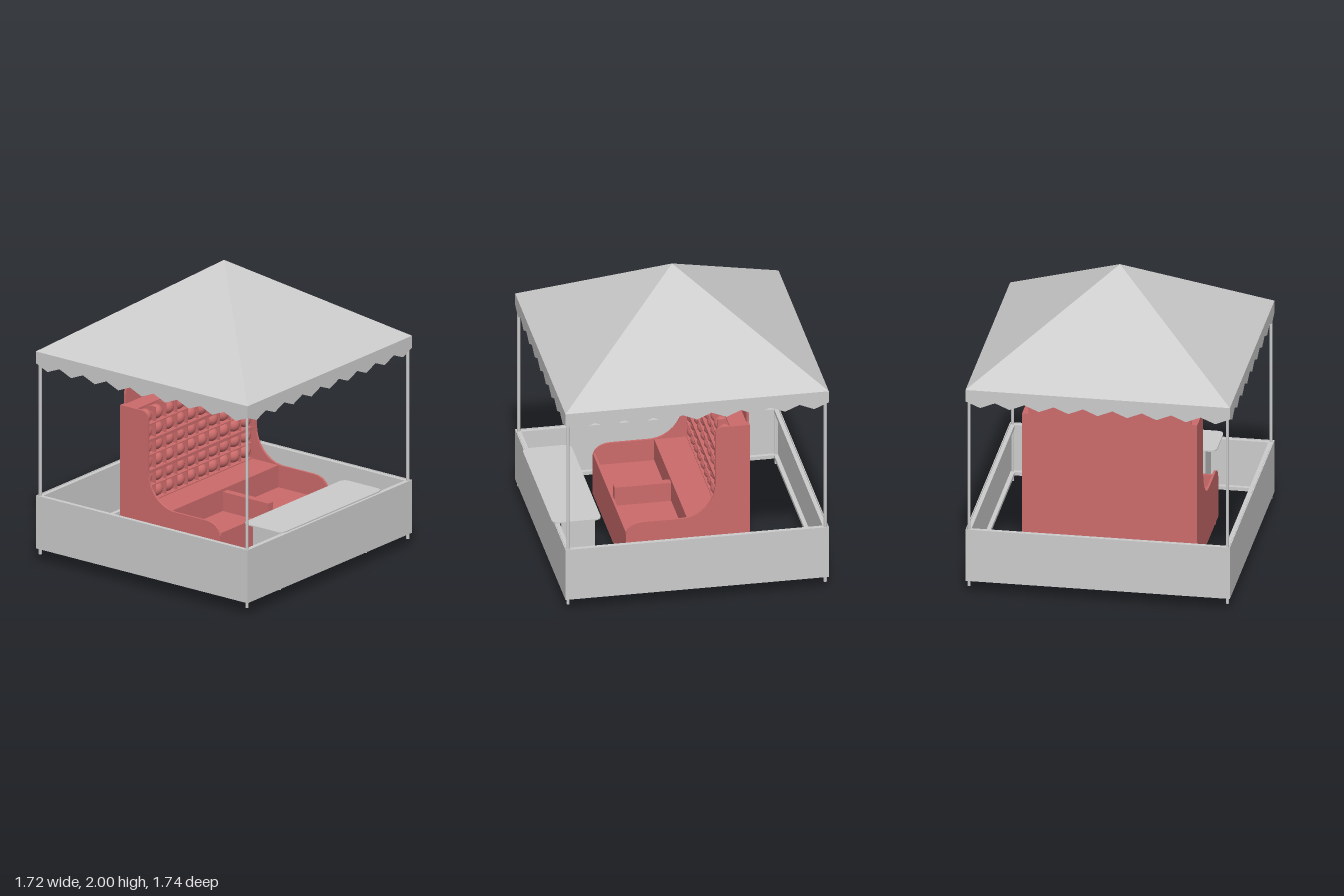
import * as THREE from 'three';

const grey = new THREE.MeshStandardMaterial({ color: 0xcccccc, side: THREE.DoubleSide, flatShading: true });
const red = new THREE.MeshStandardMaterial({ color: 0xcc6b6b, side: THREE.DoubleSide, flatShading: true });
const redSmooth = new THREE.MeshStandardMaterial({ color: 0xcc6b6b });

function add(parent, name, geometry, material, x = 0, y = 0, z = 0) {
  const mesh = new THREE.Mesh(geometry, material);
  mesh.name = name;
  mesh.position.set(x, y, z);
  parent.add(mesh);
  return mesh;
}

// Box given by its minimum and maximum on each axis
function box(parent, name, material, [x0, x1], [y0, y1], [z0, z1]) {
  const g = new THREE.BoxGeometry(x1 - x0, y1 - y0, z1 - z0);
  return add(parent, name, g, material, (x0 + x1) / 2, (y0 + y1) / 2, (z0 + z1) / 2);
}

// Round bar between two points
function bar(parent, name, a, b, r) {
  const p = new THREE.Vector3(...a), q = new THREE.Vector3(...b);
  const mesh = add(parent, name, new THREE.CylinderGeometry(r, r, p.distanceTo(q), 8), grey);
  mesh.position.copy(p).lerp(q, 0.5);
  mesh.quaternion.setFromUnitVectors(new THREE.Vector3(0, 1, 0), q.sub(p).normalize());
}

function group(parent, name) {
  const g = new THREE.Group();
  g.name = name;
  parent.add(g);
  return g;
}

// Pyramid roof with a zigzag valance, over poles and low walls
function buildTent(root) {
  const tent = group(root, 'tent');
  tent.position.z = -0.01;
  const H = 0.86, P = 0.84, EAVE = 1.43, TEETH = 9;

  const roof = new THREE.ConeGeometry(H * Math.SQRT2, 2 - EAVE, 4, 1, true);
  roof.rotateY(Math.PI / 4);
  add(tent, 'canopyRoof', roof, grey, 0, (2 + EAVE) / 2, 0);

  const valance = new THREE.Shape();
  valance.moveTo(-H, EAVE);
  valance.lineTo(-H, 1.35);
  const step = (2 * H) / TEETH;
  for (let i = 0; i < TEETH; i++) {
    valance.lineTo(-H + (i + 0.5) * step, 1.31);
    valance.lineTo(-H + (i + 1) * step, 1.35);
  }
  valance.lineTo(H, EAVE);
  const valanceGeo = new THREE.ShapeGeometry(valance).translate(0, 0, H);

  // The same four-sided frame on each quarter turn
  for (let i = 0; i < 4; i++) {
    const side = group(tent, 'tentSide');
    side.rotation.y = (i * Math.PI) / 2;
    add(side, 'valance', valanceGeo, grey);
    box(side, 'wallPanel', grey, [-H, H], [0.09, 0.45], [H - 0.006, H]);
    for (const y of [0.105, 0.435, 1.415]) {
      box(side, 'frameRail', grey, [-P, P], [y - 0.012, y + 0.012], [P - 0.015, P + 0.012]);
    }
    bar(side, 'cornerPole', [P, 0.05, P], [P, EAVE, P], 0.01);
    bar(side, 'hipRafter', [P, EAVE - 0.01, P], [0, 1.975, 0], 0.013);
  }
}

// Serving counter with a rounded top on a U-shaped base
function buildCounter(root) {
  const counter = group(root, 'counter');
  const w = 0.53, z0 = 0.55, z1 = 0.87, r = 0.05;
  const top = new THREE.Shape();
  top.moveTo(-w + r, z0);
  top.lineTo(w - r, z0);
  top.quadraticCurveTo(w, z0, w, z0 + r);
  top.lineTo(w, z1 - r);
  top.quadraticCurveTo(w, z1, w - r, z1);
  top.lineTo(-w + r, z1);
  top.quadraticCurveTo(-w, z1, -w, z1 - r);
  top.lineTo(-w, z0 + r);
  top.quadraticCurveTo(-w, z0, -w + r, z0);
  const topGeo = new THREE.ExtrudeGeometry(top, { depth: 0.008, bevelEnabled: false, curveSegments: 6 });
  topGeo.rotateX(Math.PI / 2);
  add(counter, 'counterTop', topGeo, grey, 0, 0.48, 0);
  box(counter, 'counterPanel', grey, [-0.455, 0.455], [0.055, 0.472], [0.58, 0.59]);
  for (const s of [-1, 1]) {
    box(counter, 'counterEnd', grey, [s * 0.45 - 0.005, s * 0.45 + 0.005], [0.055, 0.472], [0.58, 0.8]);
  }
}

// Cabinet with curved cheeks, trays and rounded header board
function buildCabinet(root) {
  const cabinet = group(root, 'cabinet');
  const W = 0.57, T = 0.015, BACK = -0.41, FRONT = 0.4;

  const cheek = new THREE.Shape();
  cheek.moveTo(BACK, 0.09);
  cheek.lineTo(FRONT, 0.09);
  cheek.lineTo(FRONT, 0.37);
  cheek.quadraticCurveTo(0.38, 0.45, 0.28, 0.45);
  cheek.lineTo(0.02, 0.45);
  cheek.bezierCurveTo(-0.1, 0.46, -0.185, 0.56, -0.185, 0.68);
  cheek.lineTo(-0.185, 1.035);
  cheek.quadraticCurveTo(-0.185, 1.085, -0.235, 1.085);
  cheek.lineTo(BACK, 1.085);
  const cheekGeo = new THREE.ExtrudeGeometry(cheek, { depth: T, bevelEnabled: false, curveSegments: 8 });
  cheekGeo.rotateY(-Math.PI / 2);
  add(cabinet, 'leftCheek', cheekGeo, red, W);
  add(cabinet, 'rightCheek', cheekGeo, red, -W + T);

  const hw = 0.53, hy = 1.255, r = 0.11;
  const header = new THREE.Shape();
  header.moveTo(-hw, 1);
  header.lineTo(hw, 1);
  header.lineTo(hw, hy - r);
  header.absarc(hw - r, hy - r, r, 0, Math.PI / 2);
  header.absarc(-hw + r, hy - r, r, Math.PI / 2, Math.PI);
  const headerGeo = new THREE.ExtrudeGeometry(header, { depth: 0.015, bevelEnabled: false, curveSegments: 8 });
  add(cabinet, 'headerBoard', headerGeo, red, 0, 0, BACK);

  const inner = [-W + T, W - T];
  box(cabinet, 'backPanel', red, inner, [0.09, 1.085], [BACK, BACK + 0.012]);
  box(cabinet, 'topPanel', red, inner, [1.077, 1.085], [BACK, -0.28]);
  box(cabinet, 'basePanel', red, inner, [0.09, 0.105], [BACK, FRONT]);
  box(cabinet, 'frontPanel', red, inner, [0.09, 0.385], [FRONT - 0.015, FRONT]);
  box(cabinet, 'trayFloor', red, inner, [0.29, 0.3], [-0.01, FRONT]);
  box(cabinet, 'trayBack', red, inner, [0.09, 0.45], [-0.01, 0]);
  box(cabinet, 'displayShelf', red, inner, [0.44, 0.45], [BACK, 0]);
  box(cabinet, 'trayDivider', red, [-0.025, 0.025], [0.3, 0.43], [0, 0.37]);

  buildBallRack(cabinet, inner);
  buildFeet(cabinet);
}

// Six rows of ten cells, each holding a ball
function buildBallRack(cabinet, inner) {
  const rack = group(cabinet, 'ballRack');
  const COLS = 10, ROWS = 6, dx = 0.115, dy = 0.105;
  const ball = new THREE.SphereGeometry(0.048, 20, 14);
  box(rack, 'rackBack', red, inner, [0.45, 1.08], [-0.315, -0.305]);
  for (let c = 0; c <= COLS; c++) {
    const x = (c - COLS / 2) * dx * 0.965;
    box(rack, 'cellDivider', red, [x - 0.004, x + 0.004], [0.45, 1.078], [-0.31, -0.22]);
  }
  for (let row = 0; row < ROWS; row++) {
    const y = 0.505 + row * dy;
    box(rack, 'rackShelf', red, inner, [y - 0.056, y - 0.049], [-0.31, -0.21]);
    if (row === 2 || row === 4) {
      box(rack, 'shelfLip', red, inner, [y - 0.064, y - 0.044], [-0.21, -0.202]);
    }
    for (let c = 0; c < COLS; c++) {
      add(rack, 'ball', ball, redSmooth, (c - (COLS - 1) / 2) * dx, y, -0.255);
    }
  }
}

// Eight short legs around the base and a centre caster
function buildFeet(cabinet) {
  const leg = new THREE.CylinderGeometry(0.01, 0.01, 0.045, 8);
  for (const x of [-0.55, 0, 0.55]) {
    for (const z of [-0.385, -0.008, 0.37]) {
      if (x !== 0 || z !== -0.008) add(cabinet, 'leg', leg, red, x, 0.0725, z);
    }
  }
  add(cabinet, 'casterMount', new THREE.CylinderGeometry(0.024, 0.024, 0.035, 12), red, 0, 0.075, -0.005);
  add(cabinet, 'casterBall', new THREE.SphereGeometry(0.032, 16, 12), redSmooth, 0, 0.05, -0.005);
  add(cabinet, 'casterTip', new THREE.CylinderGeometry(0.01, 0.008, 0.03, 8), red, 0, 0.015, -0.005);
}

export function createModel() {
  const root = new THREE.Group();
  root.name = 'marketStall';
  buildTent(root);
  buildCounter(root);
  buildCabinet(root);
  return root;
}
